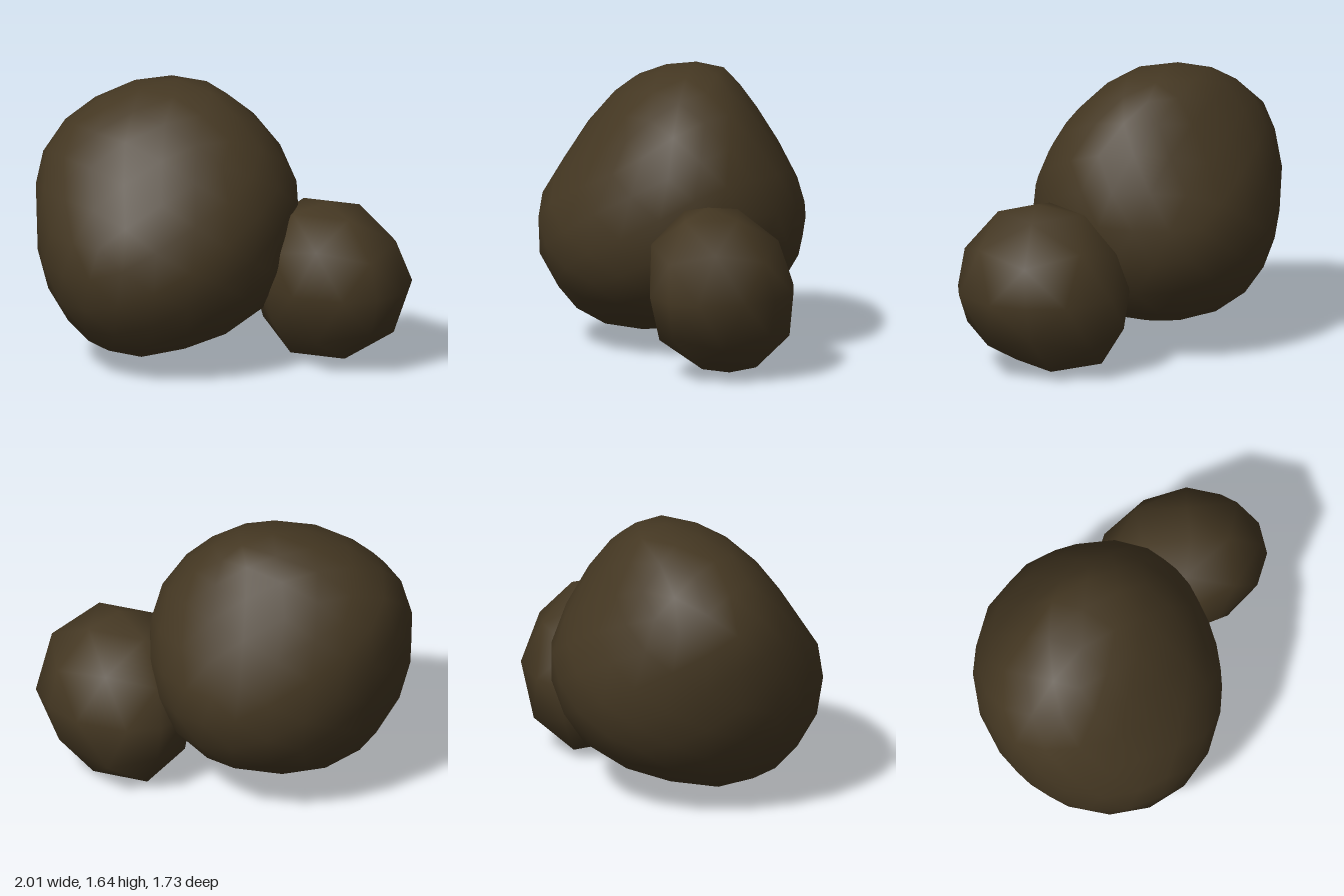
import * as THREE from 'three';
import { mergeVertices } from 'three/addons/utils/BufferGeometryUtils.js';

// Reshape a unit sphere by height: each row is [t, centreX, centreZ, radiusX, radiusZ, skew], t from -1 to 1.
// Skew stretches the section along the x = z diagonal while keeping its width and depth.
function boulder(name, sphere, midY, radiusY, rows, material) {
  sphere.deleteAttribute('normal');
  sphere.deleteAttribute('uv');
  const geo = mergeVertices(sphere, 1e-4);
  const p = geo.attributes.position;
  for (let i = 0; i < p.count; i++) {
    const x = p.getX(i), z = p.getZ(i);
    const t = THREE.MathUtils.clamp(p.getY(i), -1, 1);
    let k = 0;
    while (k < rows.length - 2 && t > rows[k + 1][0]) k++;
    const a = rows[k], b = rows[k + 1];
    const f = (t - a[0]) / (b[0] - a[0]);
    const [, cx, cz, rx, rz, s] = a.map((v, j) => THREE.MathUtils.lerp(v, b[j], f));
    const c = Math.sqrt(1 - s * s);
    p.setXYZ(i, cx + rx * (c * x + s * z), midY + radiusY * t, cz + rz * (c * z + s * x));
  }
  geo.computeVertexNormals();
  const mesh = new THREE.Mesh(geo, material);
  mesh.name = name;
  return mesh;
}

export function createModel() {
  const brown = new THREE.MeshStandardMaterial({ color: 0x443722 });
  brown.name = 'dark brown';

  const group = new THREE.Group();
  group.name = 'boulders';

  // Large boulder, leaning back and narrowing towards the top
  group.add(boulder('largeBoulder', new THREE.IcosahedronGeometry(1, 3), 0.863, 0.785, [
    [-1, -0.42, -0.12, 0.84, 0.8, -0.05],
    [-0.9, -0.35, -0.125, 0.845, 0.8, -0.05],
    [-0.7, -0.26, -0.13, 0.86, 0.775, -0.05],
    [-0.4, -0.24, -0.13, 0.82, 0.75, -0.04],
    [0, -0.225, -0.15, 0.78, 0.715, -0.01],
    [0.3, -0.22, -0.182, 0.745, 0.688, 0.08],
    [0.6, -0.23, -0.205, 0.73, 0.67, 0.14],
    [0.85, -0.2, -0.215, 0.715, 0.655, 0.13],
    [1, -0.13, -0.225, 0.71, 0.78, 0.1],
  ], brown));

  // Small boulder resting against its front left side
  group.add(boulder('smallBoulder', new THREE.OctahedronGeometry(1, 2), 0.493, 0.49, [
    [-1, 0.58, 0.3, 0.45, 0.53, 0.03],
    [-0.89, 0.56, 0.275, 0.465, 0.56, 0.03],
    [-0.45, 0.572, 0.353, 0.42, 0.512, 0.03],
    [0, 0.575, 0.363, 0.428, 0.5, 0.05],
    [0.45, 0.553, 0.385, 0.43, 0.495, 0.05],
    [0.89, 0.52, 0.39, 0.475, 0.555, 0.05],
    [1, 0.52, 0.42, 0.475, 0.58, 0.05],
  ], brown));

  return group;
}
